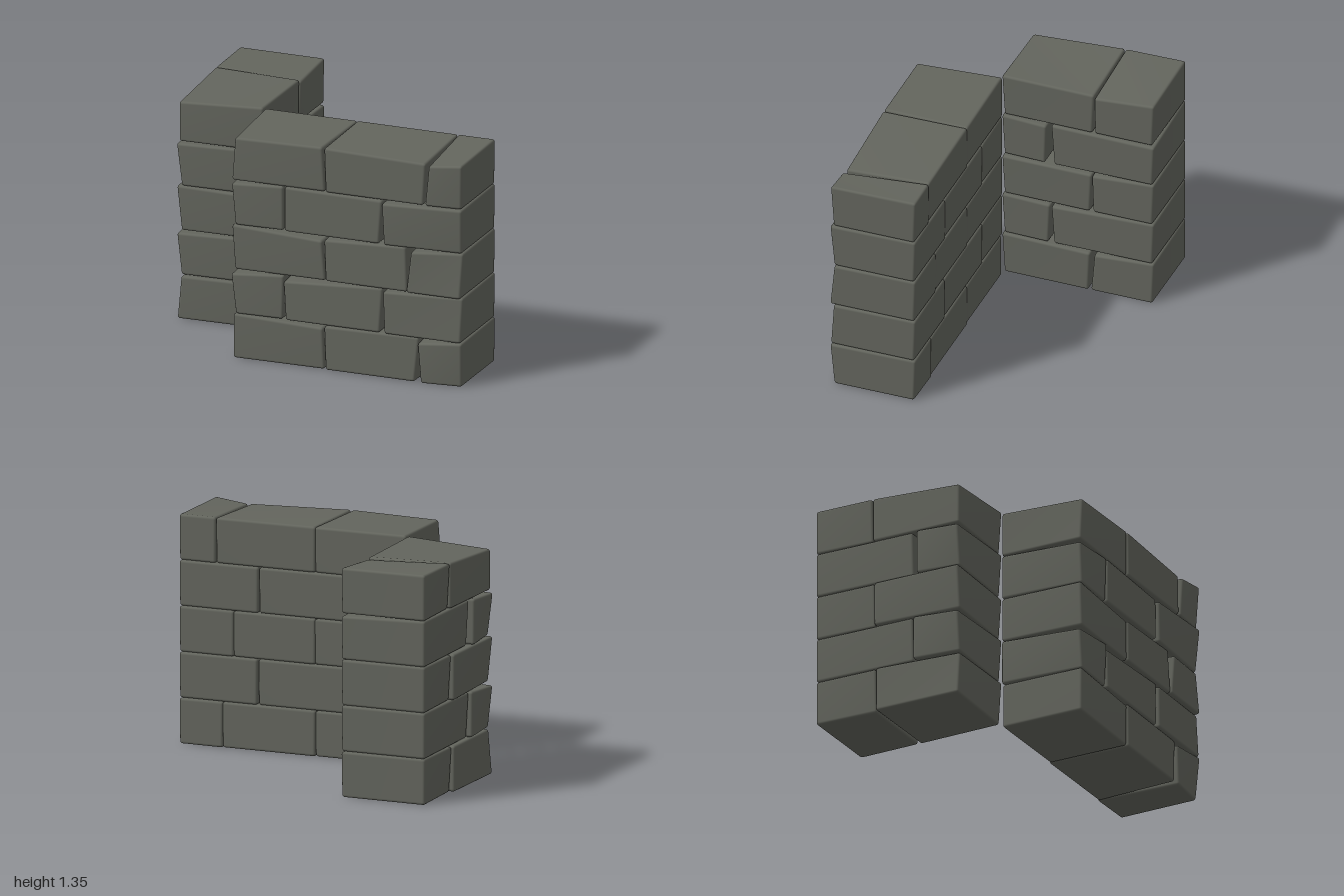
import * as THREE from 'three';
import { mergeVertices } from 'three/addons/utils/BufferGeometryUtils.js';
import { RoundedBoxGeometry } from 'three/addons/geometries/RoundedBoxGeometry.js';

const stone = new THREE.MeshStandardMaterial({ color: 0x63655d });
stone.name = 'dark grey stone';
const { lerp } = THREE.MathUtils;
const HEIGHT = 0.271;

// A side-on outline of a brick. A positive lean makes that end wider at the top.
const outline = (min, max, leanMin, leanMax) => ({
  min: (v) => min + leanMin * (1 - 2 * v),
  max: (v) => max - leanMax * (1 - 2 * v),
  minFull: min - Math.abs(leanMin),
  maxFull: max + Math.abs(leanMax),
});

// Softly bevelled block bent to skewed x and z outlines.
// dipX lowers the front edge of the top (left if positive, right if negative);
// dipZ lowers the +x edge of the top (front if positive, back if negative).
function brick(name, y0, ox, oz, dipX, dipZ) {
  const w = ox.maxFull - ox.minFull, d = oz.maxFull - oz.minFull;
  const geo = new RoundedBoxGeometry(w, HEIGHT, d, 2, 0.016);
  geo.deleteAttribute('uv');
  geo.deleteAttribute('normal');
  geo.clearGroups();
  const p = geo.attributes.position;
  for (let i = 0; i < p.count; i++) {
    const u = p.getX(i) / w + 0.5, v = p.getY(i) / HEIGHT + 0.5, t = p.getZ(i) / d + 0.5;
    // exposed faces are skewed, the opposite faces keep their full extent
    const x = lerp(lerp(ox.minFull, ox.min(v), t), lerp(ox.maxFull, ox.max(v), t), u);
    const z = lerp(lerp(oz.minFull, oz.min(v), u), lerp(oz.maxFull, oz.max(v), u), t);
    const drop = t * (dipX > 0 ? dipX * (1 - u) : -dipX * u)
      + u * (dipZ > 0 ? dipZ * t : -dipZ * (1 - t));
    p.setXYZ(i, x, y0 + v * (HEIGHT - drop), z);
  }
  const smooth = mergeVertices(geo, 1e-4);
  smooth.computeVertexNormals();
  const mesh = new THREE.Mesh(smooth, stone);
  mesh.name = name;
  return mesh;
}

// One course: three bricks along the front arm, two along the return arm.
function course(index, { joint, lean, dip, endLean, gap, gapLean, gapDip }) {
  const g = new THREE.Group();
  g.name = `course${index + 1}`;
  const y0 = index * HEIGHT, odd = index % 2;
  const [cornerL, aL, aR, bL, bR, cL] = lean;
  const mid = odd ? -0.125 : 0.125;

  // return arm, running back from the corner
  g.add(brick('returnFrontBrick', y0, outline(-0.98, -0.465, cornerL, 0.006),
    outline(gap[0], 0.205, gapLean[0], 0.006), dip[0], gapDip[0]));
  g.add(brick('returnBackBrick', y0, outline(-0.972, -0.457, 0.008, 0.004),
    outline(-0.722, gap[1], 0.005, gapLean[1]), 0, gapDip[1]));

  // front arm
  const depth = (k) => outline(0.205, 0.715, 0.004, k);
  g.add(brick('frontLeftBrick', y0, outline(-0.438, mid - 0.006, aL, aR), depth(0.004), dip[1], 0));
  g.add(brick('frontMiddleBrick', y0, outline(mid + 0.004, joint - 0.009, bL, bR),
    depth(-0.005), dip[2], 0));
  g.add(brick('frontEndBrick', y0, outline(joint + 0.01, 0.977, cL, 0.004),
    depth(endLean), dip[3], 0));
  return g;
}

export function createModel() {
  const wall = new THREE.Group();
  wall.name = 'stoneCornerWall';
  // from the ground up: front joint, end leans and top dips, then the return joint
  const courses = [
    { joint: 0.707, lean: [-0.012, 0, -0.005, 0.005, 0.012, 0.01], dip: [0.01, -0.02, 0.005, 0.03],
      endLean: 0.012, gap: [-0.325, -0.348], gapLean: [0.005, -0.012], gapDip: [-0.02, 0.02] },
    { joint: 0.485, lean: [0.015, 0.015, 0.005, 0.007, 0.007, 0.005], dip: [0.02, 0.03, 0.035, 0.015],
      endLean: -0.01, gap: [-0.08, -0.102], gapLean: [0.005, 0.007], gapDip: [-0.015, 0.015] },
    { joint: 0.643, lean: [0.015, 0.01, -0.01, 0.005, -0.007, -0.015], dip: [-0.01, -0.03, 0.02, 0.02],
      endLean: -0.015, gap: [-0.335, -0.347], gapLean: [0.005, 0.003], gapDip: [-0.02, 0.02] },
    { joint: 0.481, lean: [0.017, 0.012, 0, 0, 0.007, 0.007], dip: [0.015, 0.02, -0.01, 0.02],
      endLean: 0.012, gap: [-0.058, -0.102], gapLean: [0.003, 0.008], gapDip: [-0.02, -0.015] },
    { joint: 0.754, lean: [0, -0.01, -0.008, 0.005, 0.005, -0.012], dip: [0.03, 0.01, -0.02, 0.025],
      endLean: 0.008, gap: [-0.35, -0.36], gapLean: [0.005, 0], gapDip: [-0.012, 0.025] },
  ];
  courses.forEach((c, i) => wall.add(course(i, c)));
  return wall;
}
